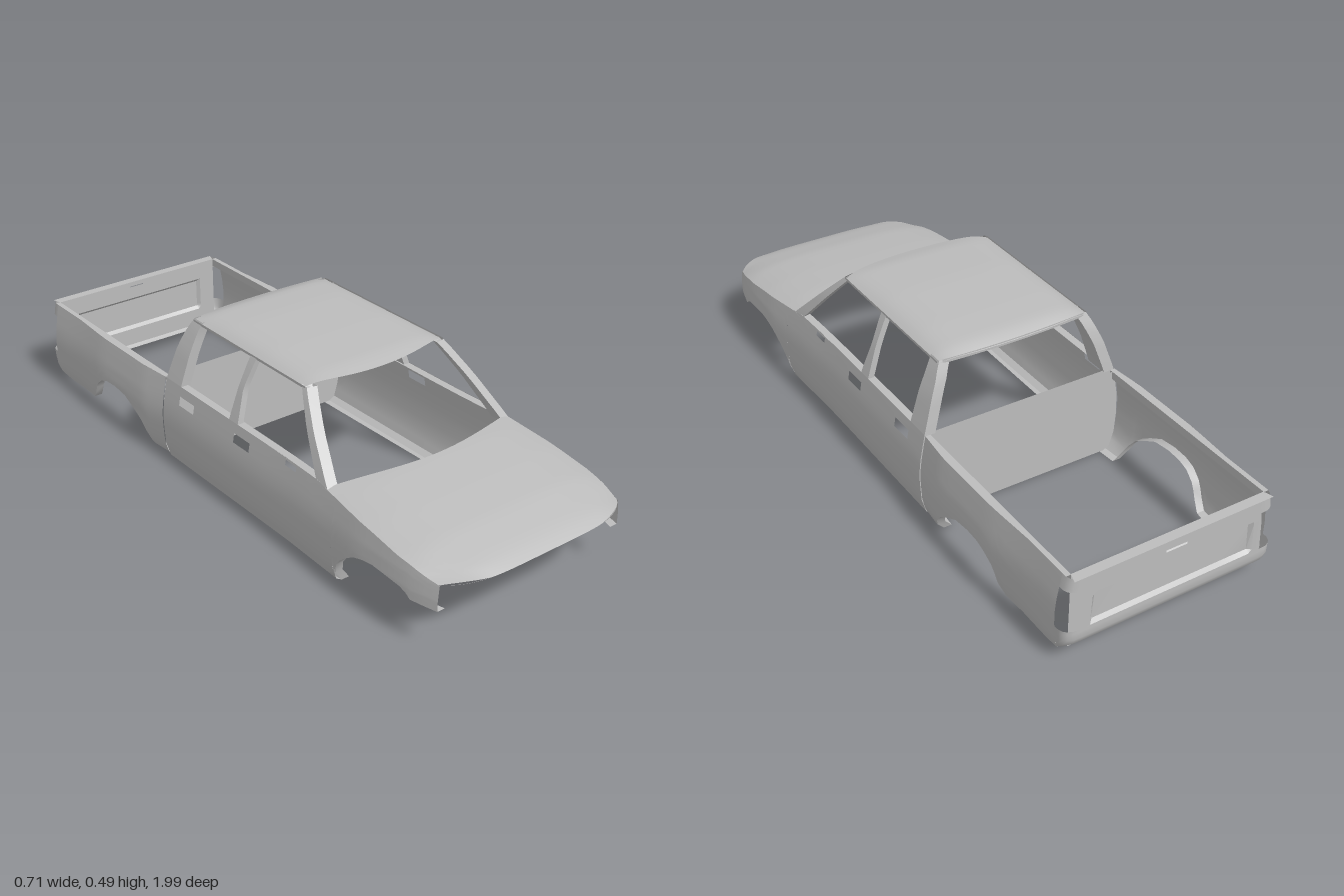
import * as THREE from 'three';
import { toCreasedNormals } from 'three/addons/utils/BufferGeometryUtils.js';

const paint = new THREE.MeshStandardMaterial({ color: 0xbcbcbc, side: THREE.DoubleSide });
paint.name = 'bodyGrey';

// Piecewise-linear curve through [input, output] pairs in rising order
const curve = (pts) => (t) => {
  if (t <= pts[0][0]) return pts[0][1];
  for (let i = 1; i < pts.length; i++) {
    const [a, ya] = pts[i - 1], [b, yb] = pts[i];
    if (t <= b) return ya + (yb - ya) * (t - a) / (b - a);
  }
  return pts[pts.length - 1][1];
};
const lerp = THREE.MathUtils.lerp;
const steps = (a, b, n) => Array.from({ length: n + 1 }, (_, i) => lerp(a, b, i / n));

// Sheet of quads over us x vs; skip(u, v) leaves openings
function sheet(name, us, vs, point, skip = () => false) {
  const pos = [], index = [], n = vs.length;
  for (const u of us) for (const v of vs) pos.push(...point(u, v));
  for (let i = 0; i < us.length - 1; i++) for (let j = 0; j < n - 1; j++) {
    if (skip((us[i] + us[i + 1]) / 2, (vs[j] + vs[j + 1]) / 2)) continue;
    const a = i * n + j, b = a + n;
    index.push(a, b, b + 1, a, b + 1, a + 1);
  }
  const g = new THREE.BufferGeometry();
  g.setAttribute('position', new THREE.Float32BufferAttribute(pos, 3));
  g.setIndex(index);
  const mesh = new THREE.Mesh(toCreasedNormals(g, 0.7), paint);
  mesh.name = name;
  return mesh;
}

// Body section (half width by height), plan width by length, and key height lines
const section = curve([[0, .31], [.012, .33], [.06, .345], [.13, .35], [.16, .35], [.2, .346], [.25, .337],
  [.28, .331], [.3, .324], [.38, .297], [.46, .26], [.49, .24]]);
const plan = curve([[-.95, .34], [-.8, .34], [-.65, .35], [-.4, .35], [-.3, .34], [.3, .34], [.5, .347],
  [.65, .355], [.8, .353], [.87, .344], [.935, .326]]);
const sideX = (y, z) => section(y) * plan(z) / .35;
const belt = curve([[-1, .28], [.45, .28], [.5, .272], [.7, .248], [.85, .225], [.93, .205]]);
const hoodTop = curve([[.45, .297], [.567, .294], [.7, .28], [.835, .262], [.94, .235], [.975, .221], [.99, .21]]);
const roofTop = curve([[-.255, .47], [-.24, .48], [-.21, .487], [-.1, .492], [.1, .492], [.28, .485], [.335, .473]]);

const fenderEdge = [[.54, 0], [.548, .04], [.56, .075], [.58, .1], [.61, .125], [.64, .145], [.675, .156], [.715, .162],
  [.755, .16], [.82, .153], [.84, .143], [.855, .13], [.9, .13], [.935, .13]];
const bedEdge = [[-.955, .04], [-.92, .033], [-.88, .03], [-.8, .032], [-.725, .038], [-.7, .065], [-.688, .09], [-.675, .11],
  [-.645, .133], [-.61, .145], [-.56, .148], [-.5, .14], [-.45, .113], [-.415, .09], [-.39, .06], [-.375, .03],
  [-.365, 0], [-.295, 0]];

// Lower side skin above a shaped bottom edge, with an inward lip along that edge
function wing(name, edge, s) {
  const bottom = curve(edge), zs = edge.map((p) => p[0]), g = new THREE.Group();
  g.name = name;
  g.add(sheet(name + 'Skin', zs, steps(0, 1, 12), (z, t) => {
    const y = lerp(bottom(z), belt(z), t);
    return [s * sideX(y, z), y, z];
  }));
  g.add(sheet(name + 'Lip', zs, [0, .025], (z, d) => [s * (sideX(bottom(z), z) - d), bottom(z), z]));
  return g;
}

// Hollow pillar following the side of the cab between two edge lines z(y)
function pillar(name, s, y0, y1, front, rear, depth, slant = 0) {
  return sheet(name, steps(0, 1, 8), [0, 1, 2, 3, 4], (t, k) => {
    const y = lerp(y0, y1, t), z = k === 1 || k === 2 ? rear(y) : front(y);
    const inner = k === 2 || k === 3;
    return [s * (sideX(y, z) - (inner ? depth : 0)), y, z + (inner ? slant : 0)];
  });
}

function buildSide(s) {
  const side = new THREE.Group();
  side.name = s > 0 ? 'leftSide' : 'rightSide';
  side.add(wing('frontFender', fenderEdge, s), wing('bedSide', bedEdge, s));

  // Doors and sill, with openings for the handles and mirror mount
  const doorZ = [-.29, -.25, -.21, -.135, -.05, .02, .07, .145, .22, .31, .36, .42, .45, .5, .54];
  const doorY = [0, .006, .012, .035, .06, .1, .13, .16, .18, .2, .222, .25, .258, .273, .28];
  side.add(sheet('doors', doorZ, doorY, (z, h) => {
    const y = h / .28 * belt(z);
    return [s * sideX(y, z), y, z];
  }, (z, y) => (y > .222 && y < .25 && ((z > -.21 && z < -.135) || (z > .07 && z < .145)))
    || (y > .258 && y < .273 && z > .31 && z < .36)));
  side.add(sheet('sillLip', [-.29, .54], [0, .02], (z, d) => [s * (sideX(0, z) - d), 0, z]));
  side.add(sheet('windowLedge', steps(-.29, .47, 6), [0, .025], (z, d) => [s * (sideX(.28, z) - d), .279, z]));

  // Window pillars
  side.add(
    pillar('windscreenPillar', s, .268, .468, curve([[.268, .505], [.468, .305]]), curve([[.268, .457], [.468, .283]]), .03, .008),
    pillar('doorPillar', s, .275, .468, curve([[.28, .08], [.38, .065], [.465, .076]]),
      curve([[.28, .037], [.38, .043], [.465, .048]]), .02),
    pillar('rearPillar', s, .275, .472, curve([[.28, -.212], [.44, -.206], [.47, -.2]]),
      curve([[.28, -.29], [.375, -.276], [.43, -.262], [.47, -.243]]), .035));
  side.add(sheet('roofRail', steps(-.24, .3, 8), [0, 1, 2], (z, k) =>
    [s * (sideX(.465, z) - (k === 2 ? .02 : 0)), k ? .462 : .47, z]));

  // Bed top rail with a folded inner edge
  side.add(sheet('bedRail', steps(-.97, -.295, 12), [0, 1, 2], (z, k) =>
    [s * (k ? .306 : sideX(.28, z)), k === 2 ? .255 : .28, z]));
  return side;
}

function buildRear() {
  const rear = new THREE.Group();
  rear.name = 'tailgate';
  const half = [[.34, -.955], [.339, -.97], [.334, -.983], [.325, -.991], [.31, -.997], [.288, -.998],
    [.262, -.998], [.25, -.998], [.15, -.998], [.035, -.998]];
  const path = [...half, ...half.map(([x, z]) => [-x, z]).reverse()];
  const tuck = curve([[.04, .045], [.05, .022], [.065, .008], [.085, 0]]);
  const rows = [.04, .05, .065, .085, .105, .115, .125, .21, .22, .24, .247, .265, .28];
  const handle = (x, y) => Math.abs(x) < .035 && y > .247 && y < .265;
  const at = (i) => path[Math.round(i)];

  // Outer skin: wraps both corners, with lamp openings and a pressed panel
  rear.add(sheet('tailSkin', path.map((_, i) => i), rows, (i, y) => {
    const [x, z] = at(i), pressed = Math.abs(x) <= .25 && y >= .125 && y <= .21;
    const inset = pressed ? .01 : tuck(y) * Math.min(1, (-.955 - z) / .04);
    return [x * section(y) / .35, y, z + inset];
  }, (i, y) => {
    const lamp = i < 5 || i > path.length - 6;
    const x = (at(Math.floor(i))[0] + at(Math.ceil(i))[0]) / 2;
    return (lamp && y > .115 && y < .24) || handle(x, y);
  }));

  // Inner skin with its own pressed panel, and the top cap
  const cols = [-.306, -.25, -.24, -.035, .035, .24, .25, .306];
  rear.add(sheet('tailInner', cols, rows, (x, y) =>
    [x, y, Math.abs(x) <= .24 && y >= .115 && y <= .21 ? -.978 : -.968], handle));
  rear.add(sheet('tailCap', [-1, 1], [0, 1], (u, v) => [u * (v ? .306 : .315), .28, v ? -.968 : -.998]));
  return rear;
}

export function createModel() {
  const model = new THREE.Group();
  model.name = 'pickupBody';
  for (const s of [1, -1]) model.add(buildSide(s));
  model.add(buildRear());

  // Crowned hood, bowed at nose and cowl
  const across = steps(-1, 1, 32);
  model.add(sheet('hood', across, steps(0, 1, 20), (u, v) => {
    const a = Math.abs(u);
    const z = lerp(.56 - .07 * a * a, .995 - .065 * a ** 5, v), ze = lerp(.49, .93, v);
    const top = hoodTop(z), edge = belt(z);
    return [u * sideX(belt(ze), ze), top - (top - edge) * a ** 4, z];
  }));
  model.add(sheet('noseLip', across, [0, 1], (u, k) => {
    const a = Math.abs(u);
    return [u * sideX(.205, .93), (k ? .2 : .21 - .005 * a ** 4), .995 - .065 * a ** 5 - k * .012];
  }));

  // Roof with rounded sides
  model.add(sheet('roof', across, steps(0, 1, 24), (u, v) => {
    const a = Math.abs(u), z = lerp(-.258 + .012 * a * a, .335 - .04 * a * a, v);
    const top = roofTop(z);
    return [u * sideX(.465, z), top - (top - .465) * a ** 7, z];
  }));
  model.add(sheet('rearHeader', across, [0, 1], (u, k) =>
    [u * .235, k ? .462 : .475, -.256 + .01 * u * u]));

  // Cab rear wall and bed front wall
  const wallY = [0, .012, .06, .13, .2, .25, .28];
  model.add(sheet('cabRearWall', [-1, 1], wallY, (u, y) => [u * sideX(y, -.285), y, -.286]));
  model.add(sheet('bedFrontWall', [-1, 1], wallY, (u, y) => [u * (sideX(y, -.3) - .01), y, -.305]));
  return model;
}
